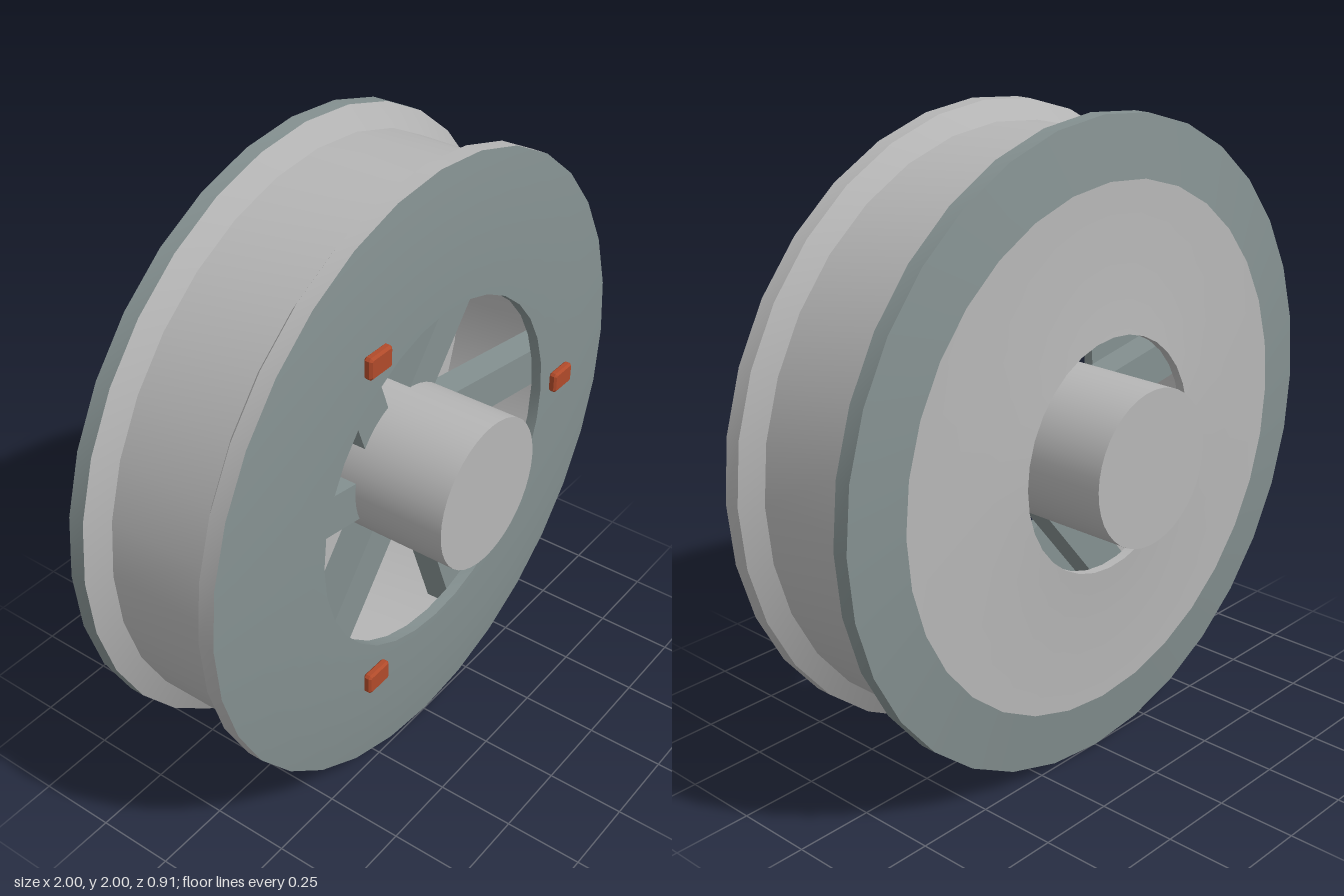
import * as THREE from 'three';
import { toCreasedNormals } from 'three/addons/utils/BufferGeometryUtils.js';

const mat = (name, color) => {
  const m = new THREE.MeshStandardMaterial({ color });
  m.name = name;
  return m;
};

export function createModel() {
  const lightGrey = mat('lightGrey', 0xb6b6b6);
  const slate = mat('slateGrey', 0x849090);
  const rust = mat('rustRed', 0xb04a2a);

  const model = new THREE.Group();
  model.name = 'wheel';
  const wheel = new THREE.Group();
  wheel.name = 'wheelAssembly';
  wheel.position.y = 1;
  model.add(wheel);

  const add = (name, geometry, material, parent = wheel) => {
    const mesh = new THREE.Mesh(geometry, material);
    mesh.name = name;
    parent.add(mesh);
    return mesh;
  };

  // Rings turned about the z axis; each profile is a list of [radius, z]
  const ring = (name, profile, material) => {
    const pts = profile.map(([r, z]) => new THREE.Vector2(r, z));
    const g = new THREE.LatheGeometry(pts, 32).rotateX(Math.PI / 2);
    add(name, toCreasedNormals(g, 0.3), material);
  };
  ring('backDisc', [[0.365, -0.3], [0.53, -0.285], [0.815, -0.28]], lightGrey);
  ring('backFlangeEdge', [[0.815, -0.28], [1, -0.254], [1, -0.203]], slate);
  ring('barrel', [[1, -0.203], [0.93, -0.163], [0.93, 0.16], [0.99, 0.203], [0.99, 0.255]], lightGrey);
  ring('frontPlate', [[0.99, 0.255], [0.8, 0.28], [0.56, 0.285], [0.56, 0.25], [0.88, 0.25]], slate);
  ring('innerWall', [[0.88, 0.25], [0.88, -0.25], [0.365, -0.27], [0.365, -0.3]], lightGrey);

  // Central hub
  const hub = new THREE.CylinderGeometry(0.242, 0.242, 0.91, 40).rotateX(Math.PI / 2);
  add('hub', hub, lightGrey);

  // Six spokes, each set slightly to one side of the centre
  for (let i = 0; i < 6; i++) {
    const arm = new THREE.Group();
    arm.name = 'spokeArm';
    arm.rotation.z = THREE.MathUtils.degToRad(-9.5 + i * 60);
    wheel.add(arm);
    const spoke = add('spoke', new THREE.BoxGeometry(0.71, 0.135, 0.1), slate, arm);
    spoke.position.set(0.505, 0.065, 0.1);
  }

  // Three upright bevelled markers on the front plate
  const w = 0.05, h = 0.035, c = 0.008;
  const outline = new THREE.Shape([
    [-w + c, -h], [w - c, -h], [w, -h + c], [w, h - c],
    [w - c, h], [-w + c, h], [-w, h - c], [-w, -h + c],
  ].map(([x, y]) => new THREE.Vector2(x, y)));
  const marker = new THREE.ExtrudeGeometry(outline, {
    depth: 0.014, bevelSize: 0.007, bevelThickness: 0.007, bevelOffset: -0.007, bevelSegments: 1,
  });
  for (let i = 0; i < 3; i++) {
    const a = (i * Math.PI * 2) / 3;
    add('marker', marker, rust).position.set(0.66 * Math.cos(a), 0.66 * Math.sin(a), 0.289);
  }

  return model;
}
